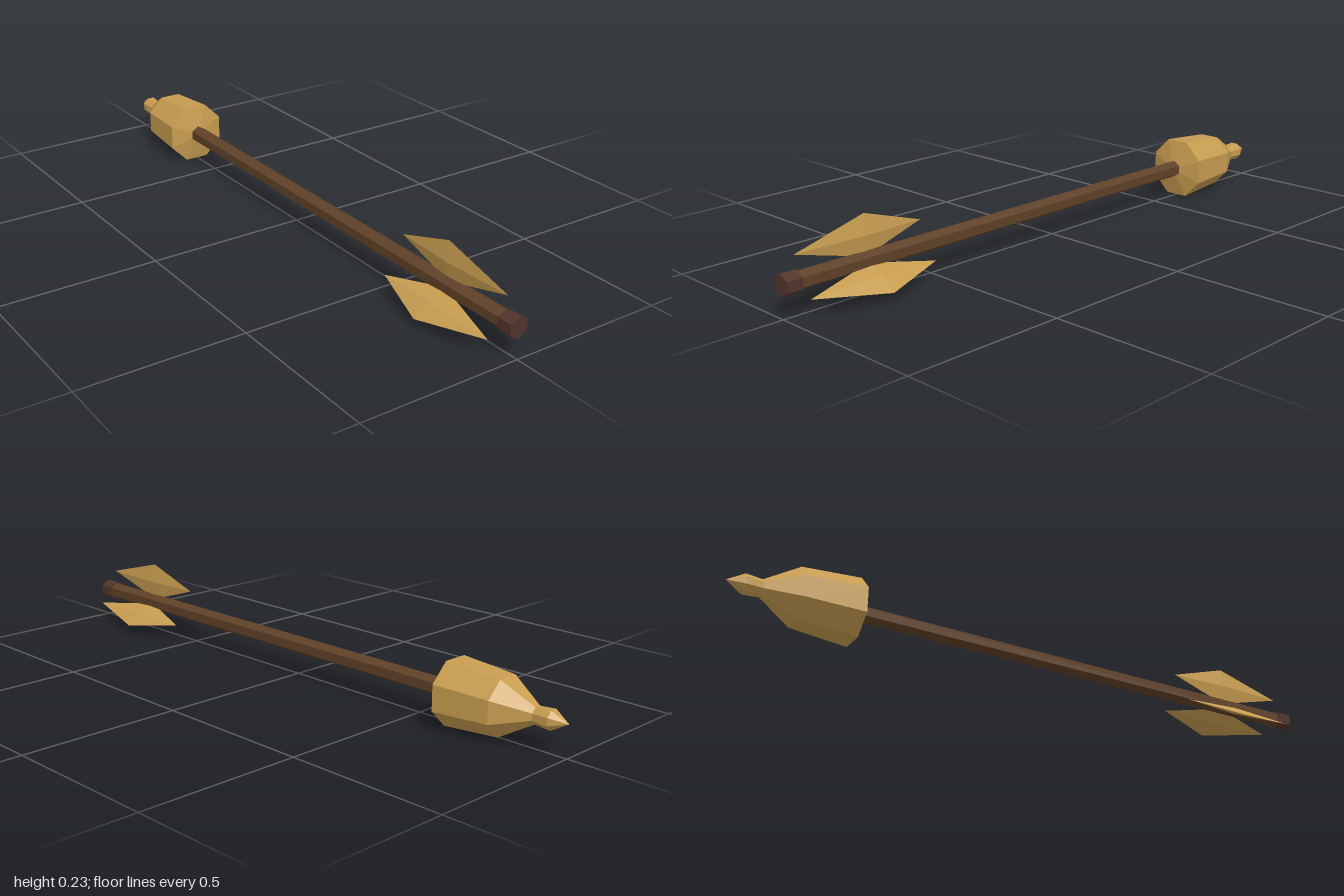
import * as THREE from 'three';

export function createModel() {
  const model = new THREE.Group();
  const axis = new THREE.Group(); // long axis of the bolt, along z
  axis.name = 'bolt';
  axis.position.set(-0.002, 0.096, 0);
  model.add(axis);

  const material = (name, color) => {
    const m = new THREE.MeshStandardMaterial({ color, flatShading: true });
    m.name = name;
    return m;
  };
  const gold = material('gold', 0xc79c50);
  const wood = material('wood', 0x5f4128);
  const darkWood = material('dark wood', 0x50332a);

  const add = (name, geometry, mat) => {
    const mesh = new THREE.Mesh(geometry, mat);
    mesh.name = name;
    axis.add(mesh);
    return mesh;
  };

  // Six-sided rod between two z positions
  const hexRod = (radius, z0, z1) =>
    new THREE.CylinderGeometry(radius, radius, z1 - z0, 6)
      .rotateX(Math.PI / 2)
      .translate(0, 0, (z0 + z1) / 2);

  add('shaft', hexRod(0.0275, -0.62, 0.96), wood);
  add('nock', hexRod(0.0325, 0.95, 1), darkWood);

  // Eight-sided head: [radius, distance forward along -z]
  const profile = [
    [0, 0.6], [0.026, 0.603], [0.102, 0.62], [0.088, 0.8],
    [0.026, 0.9], [0.03, 0.95], [0, 1],
  ].map(([r, d]) => new THREE.Vector2(r, d));
  add('head', new THREE.LatheGeometry(profile, 8, Math.PI / 8).rotateX(-Math.PI / 2), gold);

  // Three diamond fins, slightly longer towards the nock
  const fin = new THREE.OctahedronGeometry(1);
  const pos = fin.attributes.position;
  for (let i = 0; i < pos.count; i++) {
    const z = pos.getZ(i);
    pos.setXYZ(i, pos.getX(i) * 0.01, 0.072 + pos.getY(i) * 0.0615,
      0.725 + z * (z > 0 ? 0.23 : 0.195));
  }
  fin.computeVertexNormals();
  for (let i = 0; i < 3; i++) {
    add('fin' + (i + 1), fin, gold).rotation.z = 0.02 + (i * Math.PI * 2) / 3;
  }

  return model;
}
